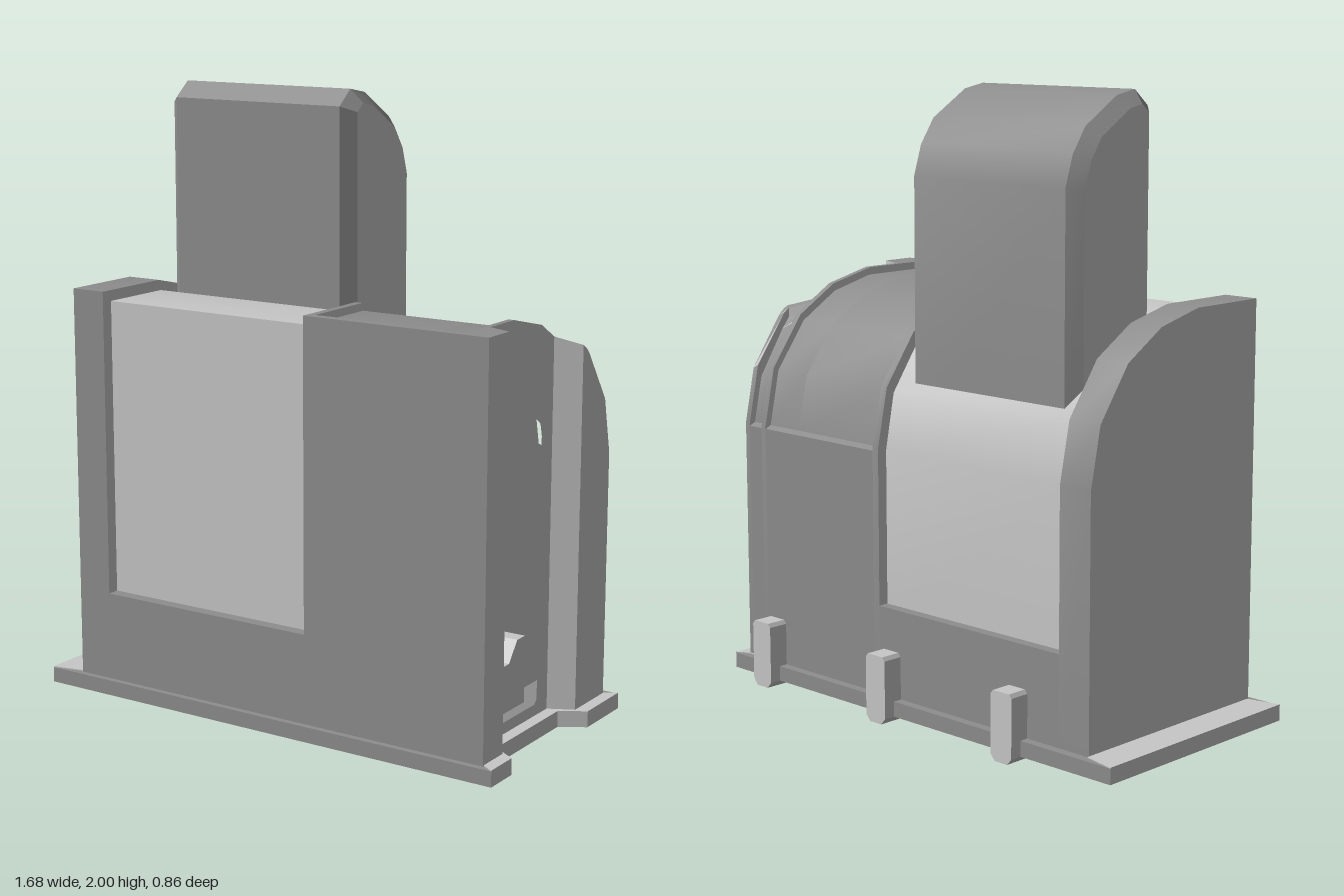
import * as THREE from 'three';
import { toCreasedNormals } from 'three/addons/utils/BufferGeometryUtils.js';

const dark = new THREE.MeshStandardMaterial({ color: 0x8e8e8e });
dark.name = 'darkGrey';
const light = new THREE.MeshStandardMaterial({ color: 0xc8c8c8 });
light.name = 'lightGrey';

// Side profiles as [z, y], running from the front over the top to the back
const BODY_TOP = [[0.405, 1.355], [0.12, 1.355], [-0.05, 1.315], [-0.2, 1.225], [-0.32, 1.06], [-0.36, 0.87]];
const LID_TOP = [[0.375, 1.33], [0.115, 1.33], [-0.045, 1.29], [-0.185, 1.205], [-0.3, 1.05], [-0.338, 0.87]];
const CORE_TOP = [[0.365, 1.32], [0.11, 1.32], [-0.04, 1.28], [-0.18, 1.195], [-0.29, 1.04], [-0.325, 0.86]];
const FLOOR = 0.07;
const full = [[0.405, FLOOR], ...BODY_TOP, [-0.36, FLOOR]];
const recessed = [[0.405, FLOOR], [0.405, 1.355], [0.375, 1.355], ...LID_TOP, [-0.36, 0.86], [-0.36, FLOOR]];

const toShape = (pts) => new THREE.Shape(pts.map(([z, y]) => new THREE.Vector2(-z, y)));

// Extrudes a [z, y] profile along x; end faces take the first material
function alongX(pts, x0, x1, hole, bevel = 0) {
  const shape = toShape(pts);
  if (hole) shape.holes.push(toShape(hole));
  const geo = new THREE.ExtrudeGeometry(shape, {
    depth: x1 - x0 - 2 * bevel, bevelEnabled: bevel > 0, bevelSize: bevel,
    bevelThickness: bevel, bevelOffset: -bevel, bevelSegments: 1,
  });
  return geo.rotateY(Math.PI / 2).translate(x0 + bevel, 0, 0);
}

// Height of a top line at depth z
function heightAt(line, z) {
  for (let i = 0; i < line.length - 1; i++) {
    const [za, ya] = line[i], [zb, yb] = line[i + 1];
    if (z <= za && z >= zb) return ya + ((yb - ya) * (za - z)) / (za - zb);
  }
  return line[z > 0 ? 0 : line.length - 1][1];
}

// Upright strip under a top line, whose depth range changes from [a, b] to [a2, b2]
function taperedStrip(line, a, b, a2, b2, x0, x1) {
  const inner = line.filter(([z]) => z < a - 1e-4 && z > b + 1e-4);
  const pts = [[a, FLOOR], [a, heightAt(line, a)], ...inner, [b, heightAt(line, b)], [b, FLOOR]];
  const geo = alongX(pts, x0, x1);
  const p = geo.attributes.position;
  for (let i = 0; i < p.count; i++) {
    if (p.getX(i) < x1 - 1e-4) continue;
    const z = a2 + ((p.getZ(i) - a) * (b2 - a2)) / (b - a);
    p.setZ(i, z);
    if (p.getY(i) > FLOOR + 0.01) p.setY(i, heightAt(line, z));
  }
  geo.computeVertexNormals();
  return paintEnds(geo);
}

// Gives every face that leans towards either end the first material
function paintEnds(geo) {
  const p = geo.attributes.position;
  const tri = new THREE.Triangle(), n = new THREE.Vector3();
  geo.clearGroups();
  for (let i = 0; i < p.count; i += 3) {
    tri.setFromAttributeAndIndices(p, i, i + 1, i + 2);
    tri.getNormal(n);
    geo.addGroup(i, 3, Math.abs(n.x) > 0.2 ? 0 : 1);
  }
  return geo;
}

// Extrudes an [x, z] outline upwards
function alongY(pts, y0, y1) {
  const shape = new THREE.Shape(pts.map(([x, z]) => new THREE.Vector2(x, -z)));
  return new THREE.ExtrudeGeometry(shape, { depth: y1 - y0, bevelEnabled: false })
    .rotateX(-Math.PI / 2).translate(0, y0, 0);
}

export function createModel() {
  const model = new THREE.Group();
  model.name = 'model';
  const add = (name, geo, material = [light, dark]) => {
    const mesh = new THREE.Mesh(toCreasedNormals(geo, 0.6), material);
    mesh.name = name;
    model.add(mesh);
  };

  // Base plate with a notch at one end, and pale top faces at both ends
  const notch = [[0.84, 0.305], [0.76, 0.255], [0.76, -0.13], [0.84, -0.18]];
  add('basePlate', paintEnds(alongY([[-0.84, -0.39], [-0.84, 0.425], [0.84, 0.425], ...notch, [0.84, -0.39]], 0.02, FLOOR)));
  add('baseEndTopLeft', alongY([[0.7, 0.4], [0.8, 0.4], [0.84, 0.425], ...notch, [0.84, -0.39], [0.8, -0.365], [0.7, -0.365]], FLOOR, FLOOR + 0.003), light);
  add('baseEndTopRight', alongY([[-0.84, -0.39], [-0.84, 0.425], [-0.73, 0.4], [-0.73, -0.365]], FLOOR, FLOOR + 0.003), light);

  // Plain side wing, low middle block and the inset core
  add('sideWing', alongX(full, -0.73, -0.61));
  add('lowerBlock', alongX([[0.405, FLOOR], [0.405, 0.36], [-0.36, 0.36], [-0.36, FLOOR]], -0.61, 0.16));
  add('core', alongX([[0.365, 0.3], ...CORE_TOP, [-0.325, 0.3]], -0.61, 0.16), light);

  // Wide wing: rim, recessed lid and a pocket in its end
  const pocket = [[0.23, 0.11], [0.23, 1.03], [0.205, 1.065], [0.13, 1.065], [-0.05, 1.03],
    [-0.09, 1.0], [-0.1, 0.96], [-0.1, 0.11], [-0.085, 0.095], [0.215, 0.095]];
  add('lidRim', alongX(full, 0.16, 0.185));
  add('lidBlock', alongX(recessed, 0.185, 0.56));
  add('pocketBlock', alongX(recessed, 0.56, 0.7, pocket));
  add('pocketFrame', alongX(full, 0.7, 0.72, pocket));
  add('pocketCradle', alongX([[0.23, 0.09], [0.23, 0.31], [0.17, 0.31], [0.115, 0.245], [0, 0.245],
    [-0.05, 0.31], [-0.1, 0.31], [-0.1, 0.09]], 0.56, 0.655), light);

  // Posts on both sides of the end groove
  add('frontPost', taperedStrip(BODY_TOP, 0.405, 0.26, 0.405, 0.29, 0.72, 0.8));
  add('backPostRim', taperedStrip(BODY_TOP, -0.13, -0.15, -0.17, -0.19, 0.72, 0.8));
  add('backPost', taperedStrip(LID_TOP, -0.15, -0.338, -0.18, -0.338, 0.72, 0.78));
  add('backPostFoot', alongX([[-0.338, FLOOR], [-0.338, 0.87], [-0.36, 0.86], [-0.36, FLOOR]], 0.72, 0.78));
  add('backPostEnd', taperedStrip(BODY_TOP, -0.18, -0.36, -0.19, -0.36, 0.78, 0.8));

  // Tall chamfered lever
  add('lever', alongX([[0.1, 0.9], [0.1, 1.95], [0.04, 2], [-0.04, 1.985], [-0.18, 1.9],
    [-0.235, 1.82], [-0.265, 1.725], [-0.265, 0.9]], -0.58, 0.127, null, 0.04));

  // Three clips along the back edge
  for (const x of [-0.44, 0.108, 0.657]) {
    const shape = new THREE.Shape([[-0.025, 0], [0.025, 0], [0.043, 0.02], [0.043, 0.21], [0.033, 0.222],
      [-0.033, 0.222], [-0.043, 0.21], [-0.043, 0.02]].map(([a, b]) => new THREE.Vector2(a, b)));
    const geo = new THREE.ExtrudeGeometry(shape, { depth: 0.085, bevelEnabled: false });
    add('clip', geo.translate(x, 0, -0.43), light);
  }
  return model;
}
